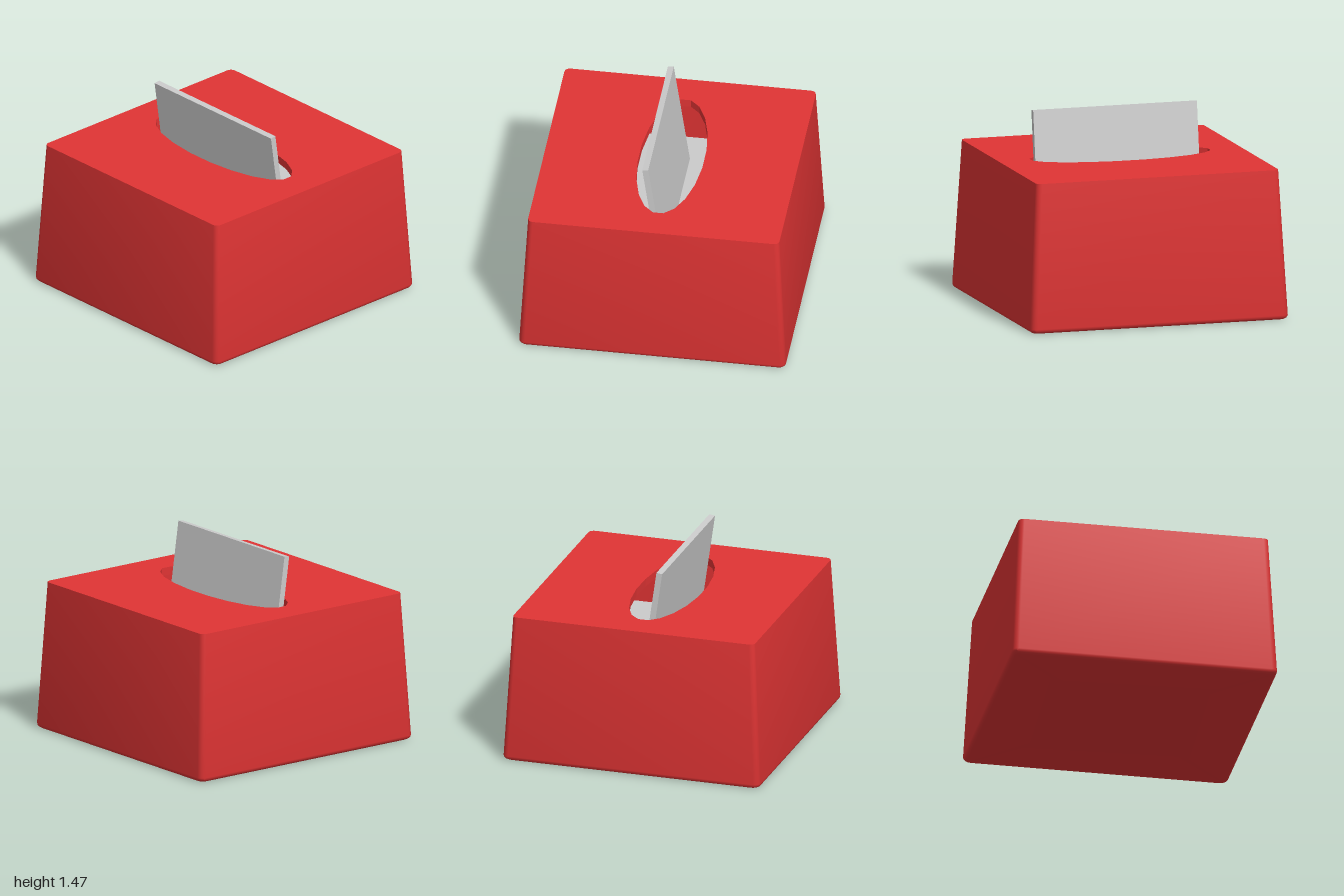
import * as THREE from 'three';
import { toCreasedNormals } from 'three/addons/utils/BufferGeometryUtils.js';

const red = new THREE.MeshStandardMaterial({ color: 0xe03434 });
const grey = new THREE.MeshStandardMaterial({ color: 0xcccccc });

// Outline of a square with rounded corners, as 2D points
function roundedSquare(half, r, steps = 4) {
  const pts = [];
  for (let q = 0; q < 4; q++) {
    const mid = Math.PI / 4 + q * Math.PI / 2;
    const cx = Math.sign(Math.cos(mid)) * (half - r), cy = Math.sign(Math.sin(mid)) * (half - r);
    for (let s = 0; s <= steps; s++) {
      const a = (q + s / steps) * Math.PI / 2;
      pts.push(new THREE.Vector2(cx + r * Math.cos(a), cy + r * Math.sin(a)));
    }
  }
  return pts;
}

// Skin through rounded squares given as [half width, corner radius, y]
function loft(sections) {
  const pos = [], index = [];
  let n = 0;
  sections.forEach(([half, r, y]) => {
    const ring = roundedSquare(half, r);
    n = ring.length;
    ring.forEach(p => pos.push(p.x, y, p.y));
  });
  for (let k = 0; k < sections.length - 1; k++) {
    for (let i = 0; i < n; i++) {
      const j = (i + 1) % n;
      const a = k * n + i, b = k * n + j, c = a + n, d = b + n;
      if (sections[k][0] > 0) index.push(a, c, b);
      if (sections[k + 1][0] > 0) index.push(b, c, d);
    }
  }
  const geo = new THREE.BufferGeometry();
  geo.setAttribute('position', new THREE.Float32BufferAttribute(pos, 3));
  geo.setIndex(index);
  return toCreasedNormals(geo, 0.6);
}

export function createModel() {
  const group = new THREE.Group();
  const add = (name, geo, mat) => {
    const mesh = new THREE.Mesh(geo, mat);
    mesh.name = name;
    group.add(mesh);
    return mesh;
  };
  const height = 1.12, wall = 0.06, bevel = 0.035;

  // Tapered hollow box: rounded base, outer walls, inner walls, inner floor
  const sections = [[0, 0, 0]];
  for (let i = 0; i <= 4; i++) {
    const a = i * Math.PI / 8;
    sections.push([0.998 - bevel + bevel * Math.sin(a), 0.045, bevel * (1 - Math.cos(a))]);
  }
  sections.push([0.94, 0.04, height], [0.885, 0.03, height - wall], [0.935, 0.03, wall], [0, 0, wall]);
  add('boxBody', loft(sections), red);

  // Lid with an oval opening
  const lidShape = new THREE.Shape(roundedSquare(0.94, 0.04));
  const oval = [];
  for (let i = 0; i < 20; i++) {
    const a = (i + 0.5) * Math.PI / 10;
    oval.push(new THREE.Vector2(0.245 * Math.cos(a), 0.7 * Math.sin(a)));
  }
  lidShape.holes.push(new THREE.Path(oval));
  const lidGeo = new THREE.ExtrudeGeometry(lidShape, { depth: wall, bevelEnabled: false });
  lidGeo.rotateX(-Math.PI / 2).translate(0, height - wall, 0);
  add('lid', lidGeo, red);

  // Stack of tissues inside
  const stack = add('tissueStack', new THREE.BoxGeometry(1.76, 0.57, 1.76), grey);
  stack.position.y = wall + 0.285;

  // Tilted sheet pulled out through the opening
  const sheet = add('tissueSheet', new THREE.BoxGeometry(0.045, 0.87, 1.27), grey);
  sheet.position.set(-0.041, 1.041, 0.013);
  sheet.rotation.z = 0.142;

  return group;
}
